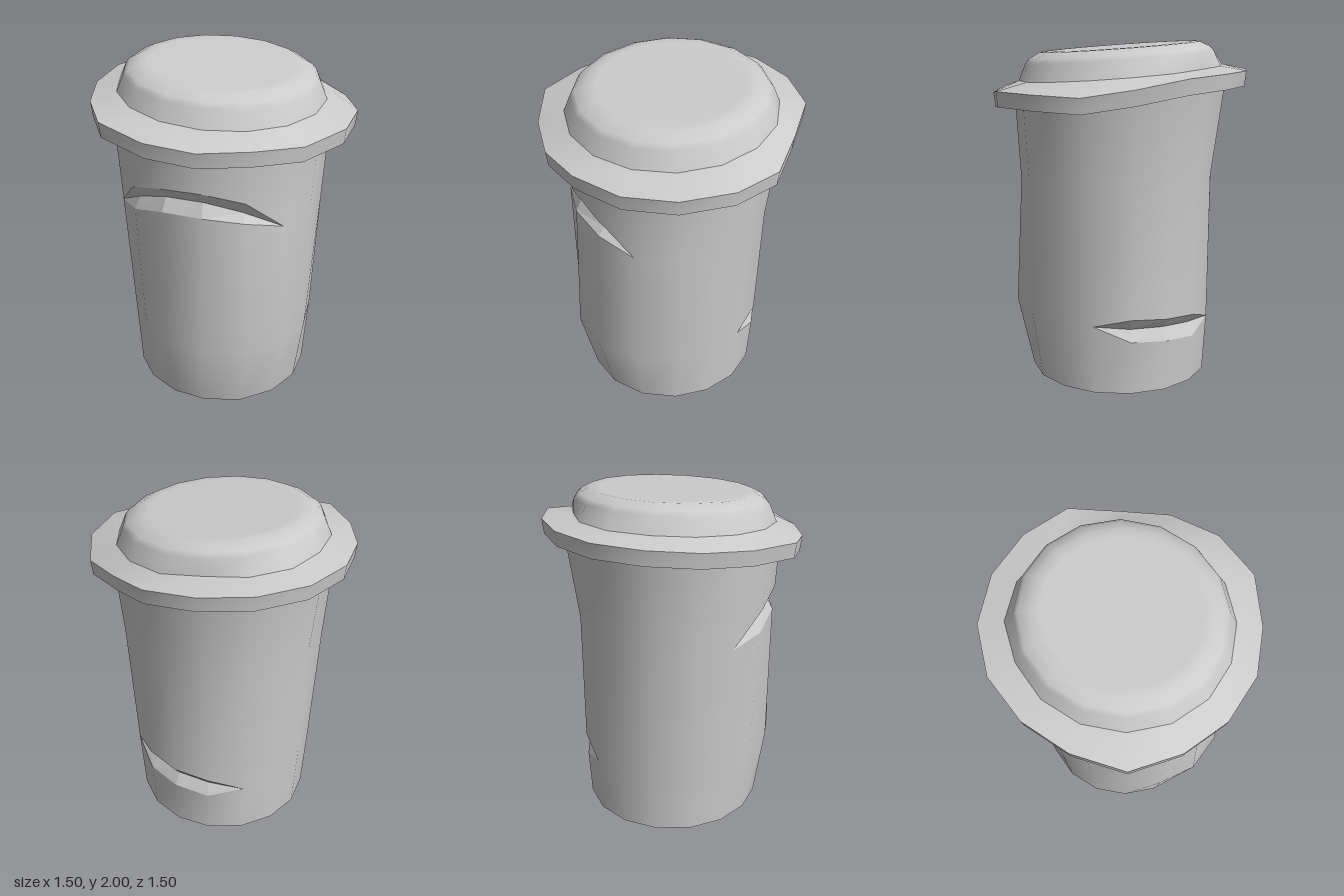
import * as THREE from 'three';
import { mergeVertices, toCreasedNormals } from 'three/addons/utils/BufferGeometryUtils.js';

const N = 16; // sides; column 0 faces +z, column 4 faces +x
const angle = (k) => (k / N) * Math.PI * 2;
const columns = Array.from({ length: N }, (_, k) => k);

// A ring of N points from per-column radius and height rules
const ring = (radius, height) => columns.map((k) => {
  const r = radius(k), a = angle(k), x = r * Math.sin(a), z = r * Math.cos(a);
  return new THREE.Vector3(x, height(k, x, z), z);
});

// Skin consecutive rings with quads, keeping only those that pass the filter
function loft(rings, keep = () => true) {
  const pos = [];
  const tri = (a, b, c) => {
    const area = b.clone().sub(a).cross(c.clone().sub(a)).length();
    if (area > 1e-7) [a, b, c].forEach((p) => pos.push(p.x, p.y, p.z));
  };
  for (let i = 0; i < rings.length - 1; i++) {
    for (const k of columns) {
      if (!keep(i, k)) continue;
      const n = (k + 1) % N;
      const a = rings[i][k], b = rings[i][n], c = rings[i + 1][n], d = rings[i + 1][k];
      tri(a, b, c);
      tri(a, c, d);
    }
  }
  const g = new THREE.BufferGeometry();
  g.setAttribute('position', new THREE.Float32BufferAttribute(pos, 3));
  return g;
}

function smooth(geometry) {
  const g = mergeVertices(geometry, 1e-4);
  g.computeVertexNormals();
  return g;
}

// Piecewise linear lookup through [position, value] pairs
function lerpTable(table, y) {
  for (let i = 1; i < table.length; i++) {
    const [y0, v0] = table[i - 1], [y1, v1] = table[i];
    if (y <= y1) return v0 + ((v1 - v0) * Math.max(0, y - y0)) / (y1 - y0);
  }
  return table[table.length - 1][1];
}

// Cup wall: a taper with a low bulge in front and a pinched upper back
const bulge = [[0, 0.02], [0.43, 0.105], [1.2, 0], [2, 0]];
const pinch = [[0, 0], [0.4, 0], [1.24, 0.046], [1.72, 0]];
function wallRadius(k, y) {
  const c = Math.cos(angle(k));
  const back = Math.max(0, Math.cos(angle(k) - angle(7.4)));
  return 0.53 + 0.057 * y + lerpTable(bulge, y) * Math.max(0, c) ** 2.5
    - lerpTable(pinch, y) * back;
}

// Folded creases: column -> [lower edge, fold, upper edge] heights
const frontCrease = {
  rest: 1.22, depth: 0.045,
  at: {
    1: [1.18, 1.18, 1.18], 0: [1.24, 1.29, 1.365], 15: [1.275, 1.355, 1.425],
    14: [1.272, 1.35, 1.415], 13: [1.21, 1.28, 1.35], 12: [1.17, 1.17, 1.17],
  },
};
const backCrease = {
  rest: 0.43, depth: 0.045,
  at: {
    4: [0.41, 0.41, 0.41], 5: [0.32, 0.385, 0.455], 6: [0.305, 0.38, 0.44],
    7: [0.285, 0.362, 0.42], 8: [0.345, 0.345, 0.345],
  },
};
function creaseRings({ rest, depth, at }) {
  return [0, 1, 2].map((j) => {
    const y = (k) => (at[k] ? at[k][j] : rest);
    const folded = (k) => j === 1 && at[k] && at[k][0] !== at[k][2];
    return ring((k) => wallRadius(k, y(k)) - (folded(k) ? depth : 0), y);
  });
}

// Warped lid rim: radius and lower-edge height for every column
const rimRadius = [0.75, 0.75, 0.785, 0.775, 0.75, 0.7, 0.75, 0.745,
  0.75, 0.76, 0.758, 0.745, 0.75, 0.79, 0.75, 0.745];
const rimBase = [1.635, 1.615, 1.64, 1.64, 1.63, 1.67, 1.725, 1.74,
  1.745, 1.745, 1.74, 1.72, 1.7, 1.685, 1.64, 1.625];
const domeFoot = (k) => ({ 7: 0.565, 9: 0.615 }[k] ?? 0.6);

export function createModel() {
  const model = new THREE.Group();
  model.name = 'crumpledCup';
  const add = (name, geometry, flatShading = false) => {
    const material = new THREE.MeshStandardMaterial({
      color: 0xcccccc, flatShading, side: THREE.DoubleSide,
    });
    const mesh = new THREE.Mesh(geometry, material);
    mesh.name = name;
    model.add(mesh);
  };

  // Cup wall, with openings where the creases fold in
  const bottom = ring((k) => wallRadius(k, 0), () => 0);
  const wallTop = (k) => rimBase[k] + 0.04;
  const low = creaseRings(backCrease), high = creaseRings(frontCrease);
  const rows = [bottom, ...low, ...high, ring((k) => wallRadius(k, wallTop(k)), wallTop)];
  const isCrease = (i) => i === 1 || i === 2 || i === 4 || i === 5;
  add('cupWall', smooth(loft(rows, (i) => !isCrease(i))));
  for (const [name, rings] of [['backCrease', low], ['frontCrease', high]]) {
    const g = loft(rings);
    g.computeVertexNormals();
    add(name, g, true);
  }

  // Cup base
  add('cupBase', smooth(loft([ring(() => 0, () => 0), bottom])));

  // Lid rim: underside, outer edge and sloping top
  const footHeight = (k, x, z) => 1.815 - 0.07 * z - 0.03 * x;
  const foot = ring(domeFoot, footHeight);
  add('lidRim', toCreasedNormals(loft([
    ring(() => 0.6, (k) => rimBase[k] + 0.035),
    ring((k) => rimRadius[k] - 0.01, (k) => rimBase[k]),
    ring((k) => rimRadius[k], (k) => rimBase[k] + 0.087),
    foot,
  ]), 0.7));

  // Lid dome, tilted towards the front
  const tilted = (r, y) => ring(() => r, (k, x, z) => y - 0.065 * z - 0.03 * x);
  add('lidDome', smooth(loft([
    foot, tilted(0.56, 1.908), tilted(0.535, 1.935), tilted(0.475, 1.966),
    tilted(0.42, 1.967), tilted(0, 1.967),
  ])));

  return model;
}
